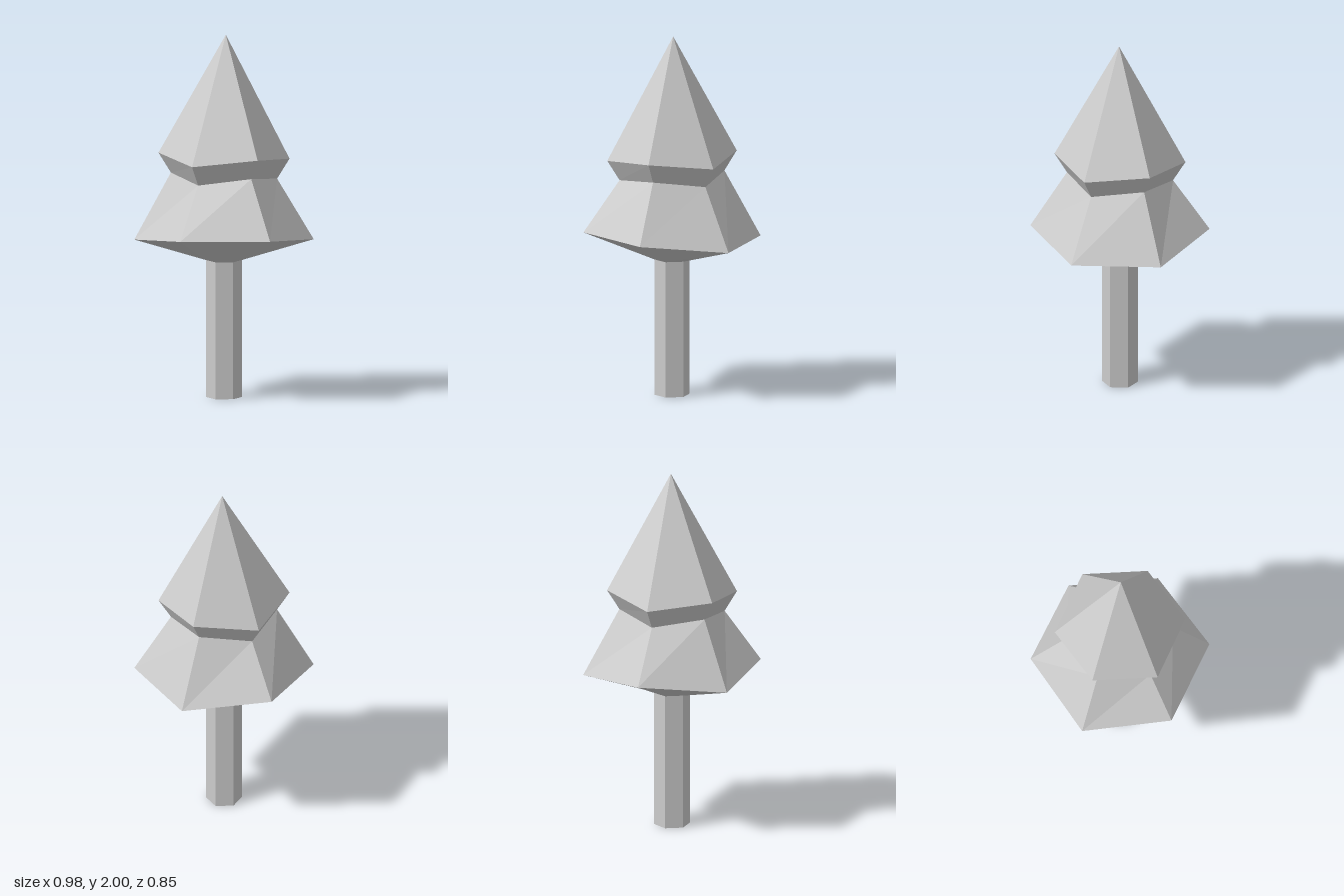
import * as THREE from 'three';

const SIDES = 6;
const material = new THREE.MeshStandardMaterial({ color: 0xcccccc, flatShading: true, roughness: 0.9 });

// Hexagonal ring, starting at +x and turning towards +z, with its own height at each corner
function ring(radius, heights, shiftX = 0) {
  return heights.map((y, k) => {
    const a = (k / SIDES) * Math.PI * 2;
    return [shiftX + radius * Math.cos(a), y, radius * Math.sin(a)];
  });
}

const level = (y) => Array(SIDES).fill(y);
const zigzag = (low, high) => Array.from({ length: SIDES }, (_, k) => (k % 2 ? high : low));

// Skin a stack of rings, listed from top to bottom
function skin(rings) {
  const positions = [];
  for (let i = 0; i < rings.length - 1; i++) {
    const upper = rings[i], lower = rings[i + 1];
    for (let k = 0; k < SIDES; k++) {
      const n = (k + 1) % SIDES;
      if (i > 0) positions.push(...upper[k], ...upper[n], ...lower[n]); // the tip needs one triangle per side
      positions.push(...upper[k], ...lower[n], ...lower[k]);
    }
  }
  const geometry = new THREE.BufferGeometry();
  geometry.setAttribute('position', new THREE.Float32BufferAttribute(positions, 3));
  geometry.computeVertexNormals();
  return geometry;
}

export function createModel() {
  const tree = new THREE.Group();
  tree.name = 'tree';

  // Hexagonal trunk
  const trunkGeometry = new THREE.CylinderGeometry(0.098, 0.098, 0.756, SIDES);
  trunkGeometry.rotateY(Math.PI / 6);
  const trunk = new THREE.Mesh(trunkGeometry, material);
  trunk.name = 'trunk';
  trunk.position.y = 0.378;
  tree.add(trunk);

  // Two-tier foliage with uneven rims and a slightly off-centre tip
  const foliage = new THREE.Mesh(skin([
    ring(0, level(2), 0.01),
    ring(0.358, zigzag(1.315, 1.35)),
    ring(0.29, zigzag(1.205, 1.24)),
    ring(0.49, [0.87, 0.92, 0.92, 0.87, 0.92, 0.87]),
    ring(0.098, level(0.756)),
  ]), material);
  foliage.name = 'foliage';
  tree.add(foliage);

  return tree;
}
